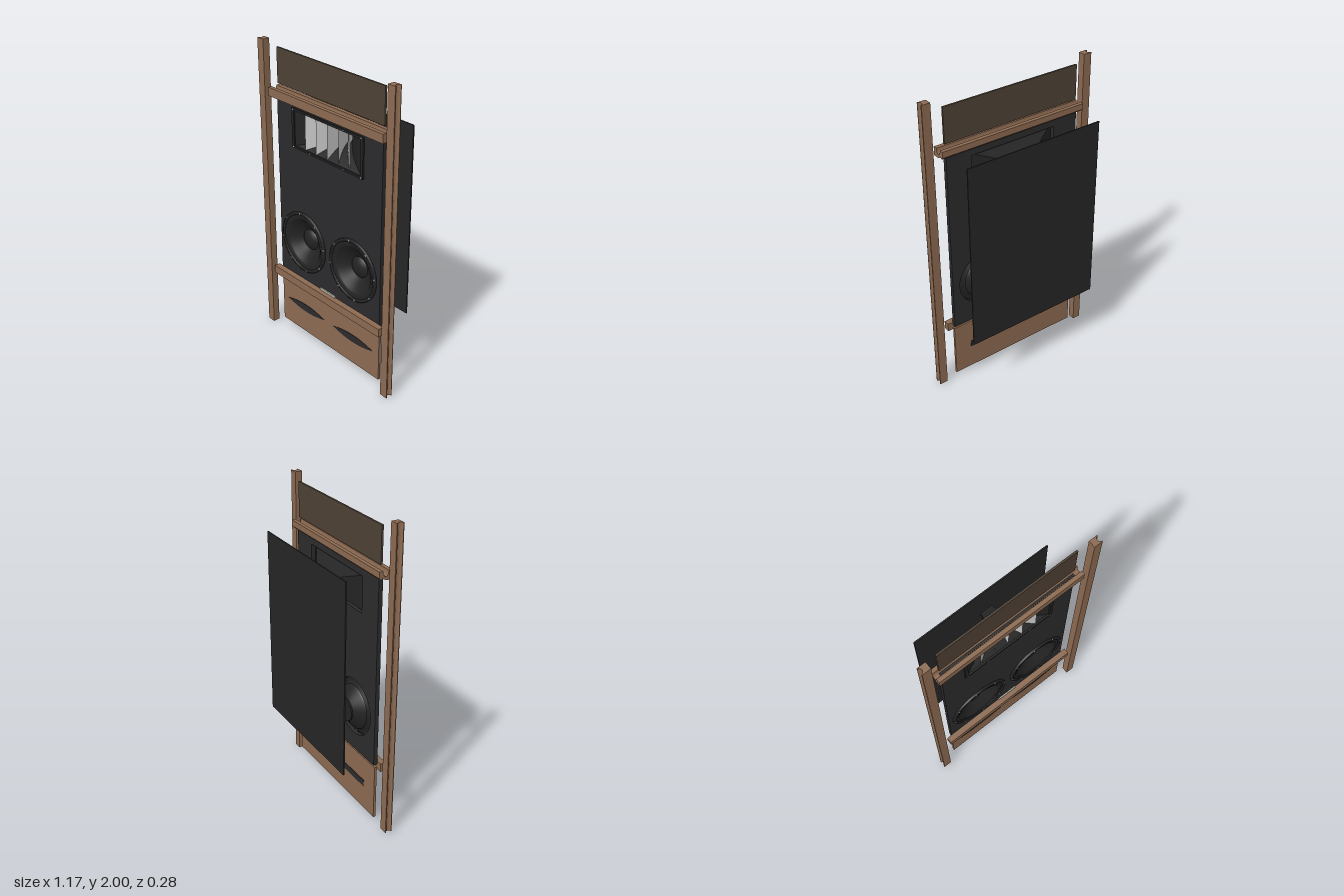
import * as THREE from 'three';

const flat = (name, color, side = THREE.FrontSide) => {
  const m = new THREE.MeshStandardMaterial({ color, side });
  m.name = name;
  return m;
};

export function createModel() {
  const wood = flat('walnut', 0x8c6a51);
  const darkWood = flat('darkWalnut', 0x4e4134);
  const black = flat('baffleBlack', 0x2b2b2d);
  const backBlack = flat('backBlack', 0x262626);
  const cone = flat('speakerBlack', 0x232324, THREE.DoubleSide);
  const silver = flat('silver', 0xc2c2c2, THREE.DoubleSide);
  const badgeMat = flat('paleMetal', 0xc8c8bc);

  const group = new THREE.Group();
  const add = (name, geometry, material, x = 0, y = 0, z = 0, parent = group) => {
    const m = new THREE.Mesh(geometry, material);
    m.name = name;
    m.position.set(x, y, z);
    parent.add(m);
    return m;
  };
  const box = (name, mat, x0, x1, y0, y1, z0, z1) =>
    add(name, new THREE.BoxGeometry(x1 - x0, y1 - y0, z1 - z0), mat, (x0 + x1) / 2, (y0 + y1) / 2, (z0 + z1) / 2);
  const extrude = (shape, depth, curveSegments = 24) =>
    new THREE.ExtrudeGeometry(shape, { depth, bevelEnabled: false, curveSegments });
  const rectPath = (P, x0, x1, y0, y1) => {
    const p = new P();
    p.moveTo(x0, y0).lineTo(x1, y0).lineTo(x1, y1).lineTo(x0, y1).closePath();
    return p;
  };

  // Side posts with a round groove along the outer face
  for (const s of [1, -1]) {
    const p = new THREE.Shape();
    p.moveTo(0.53, -0.14).lineTo(0.585, -0.14).lineTo(0.585, -0.135);
    p.absarc(0.587, -0.117, 0.018, -Math.PI / 2, -Math.PI * 1.5, true);
    p.lineTo(0.585, -0.094).lineTo(0.53, -0.094).closePath();
    const g = extrude(p, 2, 12).rotateX(-Math.PI / 2);
    const post = add(s > 0 ? 'leftPost' : 'rightPost', g, wood);
    if (s < 0) {
      post.rotation.y = Math.PI;
      post.position.z = 0.234;
    }
  }

  // Top rail: profile in (-z, y), grooved above
  const r = new THREE.Shape();
  r.moveTo(-0.137, 1.655).lineTo(-0.098, 1.655).lineTo(-0.07, 1.668).lineTo(-0.062, 1.66);
  r.lineTo(-0.05, 1.672).lineTo(-0.05, 1.71).lineTo(-0.075, 1.71);
  r.absellipse(-0.093, 1.71, 0.018, 0.034, 0, -Math.PI, true);
  r.lineTo(-0.137, 1.71).closePath();
  add('topRail', extrude(r, 1, 12).rotateY(Math.PI / 2), wood, -0.5);
  box('bottomRail', wood, -0.5, 0.5, 0.405, 0.46, 0.098, 0.137);

  // Flat panels
  box('upperPanel', darkWood, -0.465, 0.465, 1.735, 1.96, 0.08, 0.092);
  box('lowerPanel', wood, -0.465, 0.465, 0.05, 0.42, 0.08, 0.096);
  box('backPanel', backBlack, -0.465, 0.465, 0.44, 1.68, -0.14, -0.132);
  box('badge', badgeMat, -0.07, 0.07, 0.46, 0.473, 0.098, 0.106);

  // Lens-shaped ports in front, plain slots behind
  for (const s of [1, -1]) {
    const lens = new THREE.Shape();
    lens.moveTo(-0.18, 0).quadraticCurveTo(0, -0.052, 0.18, 0).quadraticCurveTo(0, 0.052, -0.18, 0);
    add('portFront', extrude(lens, 0.004), black, s * 0.227, 0.235, 0.095);
    box('portBack', black, s * 0.227 - 0.12, s * 0.227 + 0.12, 0.213, 0.257, 0.077, 0.081);
  }

  // Baffle with openings for the horn and the two woofers
  const hornY = 1.497, wx = 0.23, wy = 0.735;
  const baffle = rectPath(THREE.Shape, -0.465, 0.465, 0.44, 1.68);
  baffle.holes.push(rectPath(THREE.Path, -0.295, 0.295, hornY - 0.115, hornY + 0.115));
  for (const s of [1, -1]) {
    const h = new THREE.Path();
    h.absarc(s * wx, wy, 0.185, 0, Math.PI * 2);
    baffle.holes.push(h);
  }
  add('baffle', extrude(baffle, 0.026), black, 0, 0, 0.072);

  // Woofers: front rim, surround and cone, dust cap, rear basket and bolts
  const lathe = (pts) =>
    new THREE.LatheGeometry(pts.map(([a, b]) => new THREE.Vector2(a, b)), 48).rotateX(Math.PI / 2);
  const bolt = new THREE.CylinderGeometry(0.006, 0.006, 0.006, 10).rotateX(Math.PI / 2);
  for (const s of [1, -1]) {
    const w = new THREE.Group();
    w.name = s > 0 ? 'leftWoofer' : 'rightWoofer';
    w.position.set(s * wx, wy, 0);
    group.add(w);
    add('rim', lathe([[0.207, 0.096], [0.207, 0.108], [0.2, 0.111], [0.19, 0.111], [0.186, 0.104]]), cone, 0, 0, 0, w);
    add('cone', lathe([[0.187, 0.104], [0.181, 0.107], [0.175, 0.102], [0.169, 0.106], [0.163, 0.101],
      [0.157, 0.103], [0.15, 0.096], [0.11, 0.07], [0.068, 0.042]]), cone, 0, 0, 0, w);
    add('dustCap', lathe([[0.07, 0.043], [0.06, 0.053], [0.04, 0.062], [0.02, 0.067], [0, 0.069]]), cone, 0, 0, 0, w);
    add('basket', lathe([[0.145, 0.074], [0.138, 0.06], [0.075, 0.016]]), cone, 0, 0, 0, w);
    add('magnet', new THREE.CylinderGeometry(0.076, 0.076, 0.012, 40).rotateX(Math.PI / 2), cone, 0, 0, 0.013, w);
    for (let i = 0; i < 8; i++) {
      const a = (i * Math.PI) / 4 + 0.13;
      add('bolt', bolt, silver, 0.2 * Math.cos(a), 0.2 * Math.sin(a), 0.11, w);
    }
  }

  // Horn: flared rectangular body swept from throat to mouth
  const horn = new THREE.Group();
  horn.name = 'horn';
  horn.position.y = hornY;
  group.add(horn);
  const N = 20, Z = (t) => -0.1 + 0.2 * t;
  const halfW = (t) => 0.04 + 0.255 * Math.pow(t, 1.85);
  const halfH = (t) => 0.018 + 0.097 * Math.pow(t, 1.58);
  const strip = (edge) => {
    const pos = [], idx = [];
    for (let i = 0; i <= N; i++) {
      const [a, b] = edge(i / N);
      pos.push(...a, ...b);
      if (i < N) idx.push(2 * i, 2 * i + 1, 2 * i + 2, 2 * i + 1, 2 * i + 3, 2 * i + 2);
    }
    const g = new THREE.BufferGeometry();
    g.setAttribute('position', new THREE.Float32BufferAttribute(pos, 3));
    g.setIndex(idx);
    g.computeVertexNormals();
    return g;
  };
  for (const s of [1, -1]) {
    add('hornSide', strip((t) => [[s * halfW(t), -s * halfH(t), Z(t)], [s * halfW(t), s * halfH(t), Z(t)]]), cone, 0, 0, 0, horn);
    add('hornCover', strip((t) => [[s * halfW(t), s * halfH(t), Z(t)], [-s * halfW(t), s * halfH(t), Z(t)]]), cone, 0, 0, 0, horn);
  }
  add('throat', new THREE.BoxGeometry(0.08, 0.036, 0.004), cone, 0, 0, -0.1, horn);

  // Silver vanes fanning out inside the horn
  for (const x of [-0.2, -0.1, 0, 0.1, 0.2]) {
    const k = x / halfW(1);
    add('vane', strip((t) => [[k * halfW(t), -halfH(t), Z(t)], [k * halfW(t), halfH(t), Z(t)]]), silver, 0, 0, 0, horn);
  }

  // Horn mouth frame and its screws
  const frame = rectPath(THREE.Shape, -0.315, 0.315, -0.128, 0.128);
  frame.holes.push(rectPath(THREE.Path, -0.295, 0.295, -0.114, 0.114));
  add('hornFrame', extrude(frame, 0.012), cone, 0, 0, 0.097, horn);
  for (const x of [-0.3, -0.15, 0.15, 0.3])
    for (const y of [-0.121, 0.121]) {
      const b = add('screw', bolt, silver, x, y, 0.108, horn);
      b.scale.set(0.7, 0.7, 1);
    }

  return group;
}
